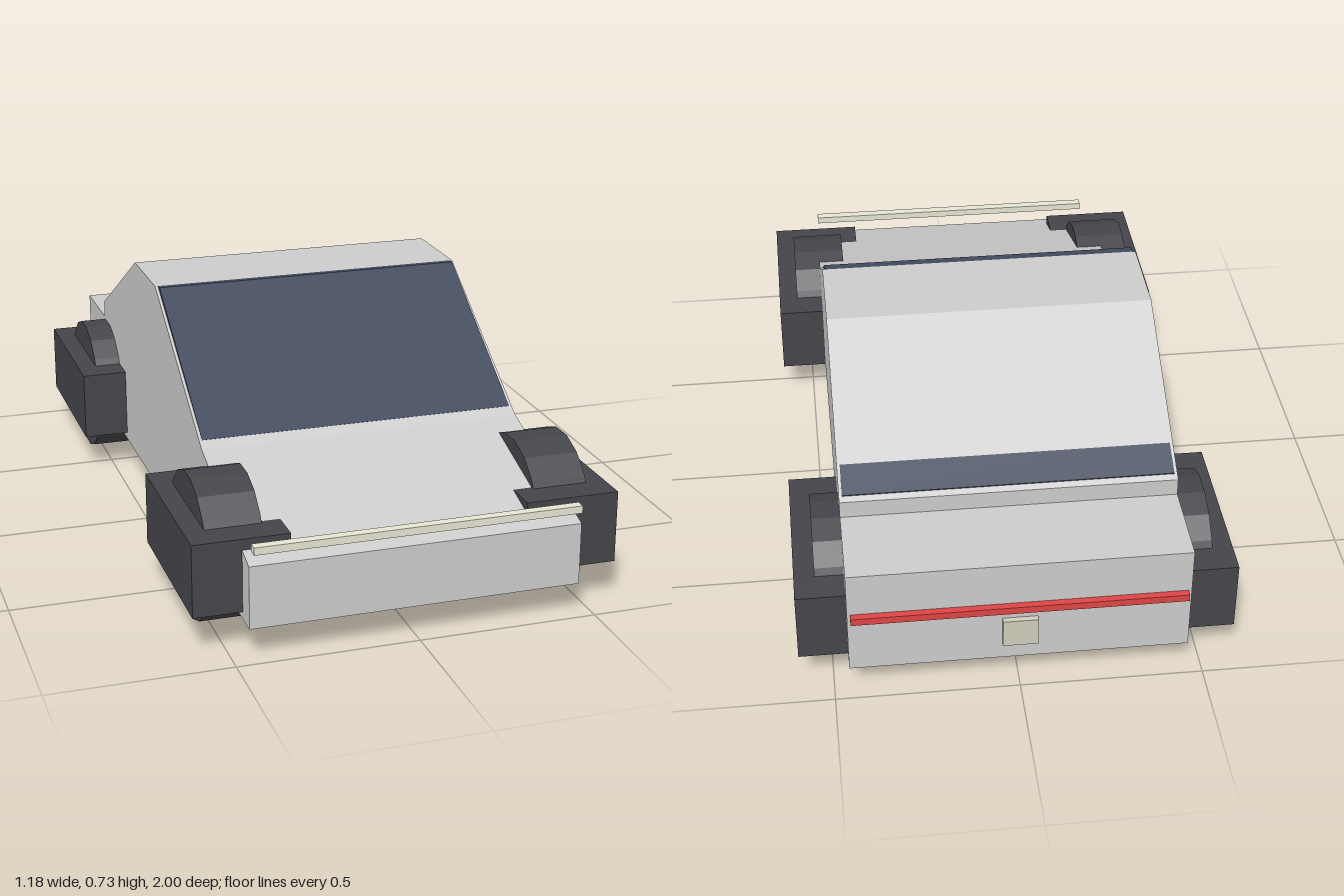
import * as THREE from 'three';

const mat = (color, name) => new THREE.MeshStandardMaterial({ color, flatShading: true });
const grey = mat(0xcccccc), rubber = mat(0x44444a), glass = mat(0x3f475a);
const lamp = mat(0xe6e4d2), red = mat(0xdd4444), pale = mat(0xcfccba);

export function createModel() {
  const car = new THREE.Group();
  car.name = 'car';

  const add = (name, geometry, material, x = 0, y = 0, z = 0) => {
    const mesh = new THREE.Mesh(geometry, material);
    mesh.name = name;
    mesh.position.set(x, y, z);
    car.add(mesh);
    return mesh;
  };

  // Side profile of [z, y] points, extruded across the car's width
  const profile = (points, width) => {
    const shape = new THREE.Shape(points.map(([z, y]) => new THREE.Vector2(z, y)));
    return new THREE.ExtrudeGeometry(shape, { depth: width, bevelEnabled: false })
      .translate(0, 0, -width / 2)
      .rotateY(-Math.PI / 2);
  };

  // Body with sloping hood, cabin and short rear deck
  add('body', profile([
    [-0.98, 0.09], [0.98, 0.09], [0.98, 0.265], [0.52, 0.41], [0.01, 0.725],
    [-0.25, 0.725], [-0.735, 0.46], [-0.735, 0.41], [-0.98, 0.41],
  ], 0.917), grey);

  // Glass panes lying just proud of the cabin slopes
  add('windshield', profile([
    [0.495, 0.428], [0.032, 0.726], [0.01, 0.725], [0.48, 0.42],
  ], 0.9), glass);
  add('rearWindow', profile([
    [-0.63, 0.517], [-0.72, 0.472], [-0.715, 0.455], [-0.635, 0.5],
  ], 0.9), glass);

  // Light bars and number plate
  add('headlightBar', new THREE.BoxGeometry(0.9, 0.021, 0.027), lamp, 0, 0.314, 0.986);
  add('tailLightBar', new THREE.BoxGeometry(0.9, 0.021, 0.025), red, 0, 0.27, -0.987);
  add('numberPlate', new THREE.BoxGeometry(0.095, 0.085, 0.02), pale, 0, 0.187, -0.986);

  // Wheels, each inside a block-shaped fender
  const wheel = new THREE.CylinderGeometry(0.205, 0.205, 0.155, 18).rotateZ(Math.PI / 2);
  const fender = new THREE.BoxGeometry(0.264, 0.204, 0.506);
  for (const [end, z] of [['front', 0.665], ['rear', -0.69]]) {
    for (const [side, s] of [['Left', 1], ['Right', -1]]) {
      add(`${end}${side}Wheel`, wheel, rubber, s * 0.459, 0.202, z);
      add(`${end}${side}Fender`, fender, rubber, s * 0.46, 0.213, z);
    }
  }
  return car;
}
